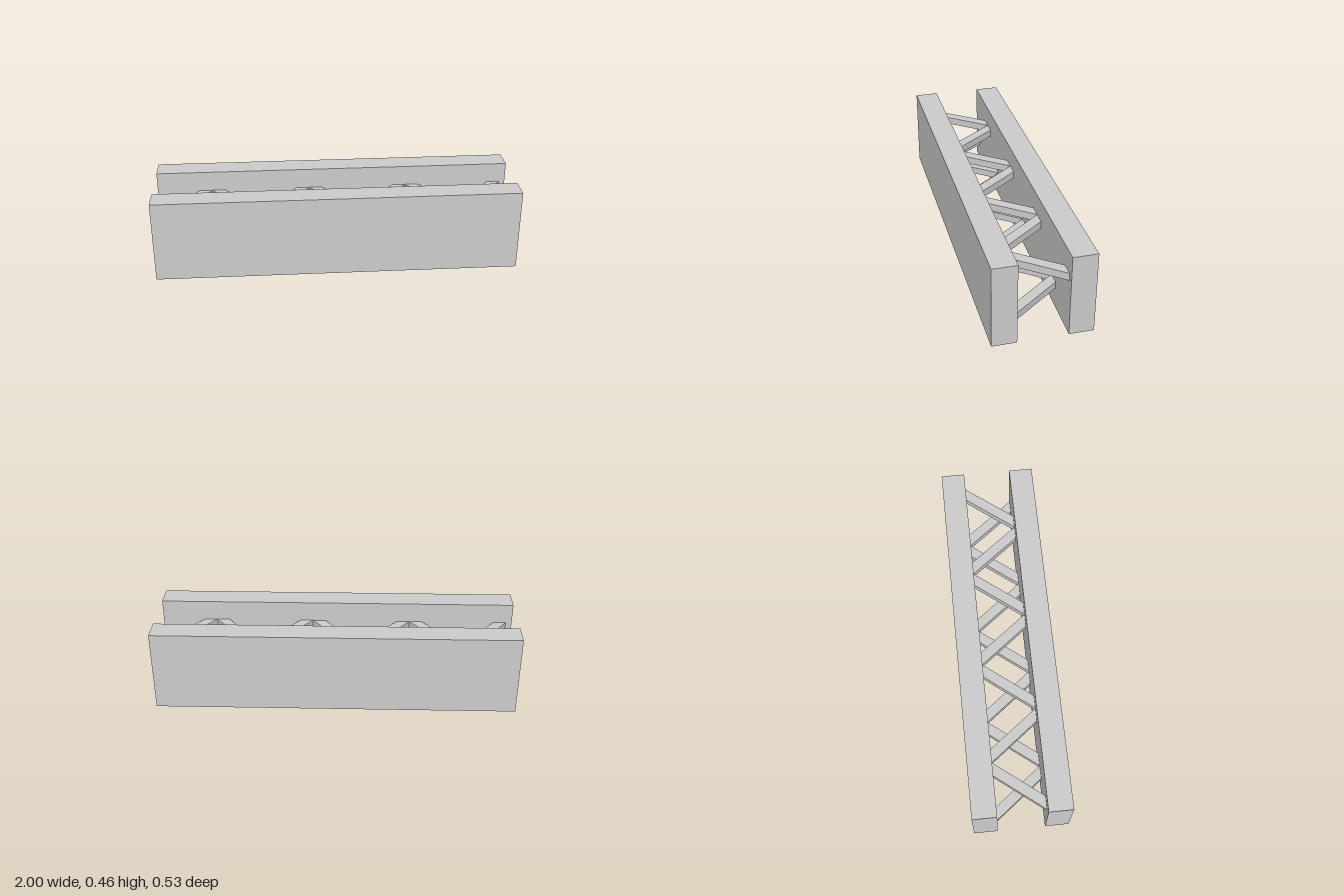
import * as THREE from 'three';

const LENGTH = 2, HEIGHT = 0.456;
const INNER = 0.132, OUTER = 0.263; // wall faces, distance from the middle
const BAYS = 7, PITCH = 0.276, BAR_WIDTH = 0.072; // bar width measured along x

const material = new THREE.MeshStandardMaterial({ color: 0xcccccc, flatShading: true });

// Diagonal bar cut flush with both walls; lean = 1 runs to the back at its +x end
function braceGeometry(lean, thickness) {
  const near = PITCH / 2, far = near - BAR_WIDTH;
  const corners = [[-near, -INNER], [-far, -INNER], [near, INNER], [far, INNER]];
  const shape = new THREE.Shape(corners.map(([x, y]) => new THREE.Vector2(x, y * lean)));
  const geometry = new THREE.ExtrudeGeometry(shape, { depth: thickness, bevelEnabled: false });
  return geometry.rotateX(-Math.PI / 2);
}

// Zigzag row of bars, alternating direction from bay to bay
function braceRow(name, bottom, top, firstLean) {
  const row = new THREE.Group();
  row.name = name;
  for (let i = 0; i < BAYS; i++) {
    const lean = i % 2 === 0 ? firstLean : -firstLean;
    const bar = new THREE.Mesh(braceGeometry(lean, top - bottom), material);
    bar.name = 'diagonalBar';
    bar.position.set((i - (BAYS - 1) / 2) * PITCH, bottom, 0);
    row.add(bar);
  }
  return row;
}

export function createModel() {
  const model = new THREE.Group();
  model.name = 'bracedDoubleWall';

  // Two parallel walls
  for (const [name, side] of [['frontWall', 1], ['backWall', -1]]) {
    const wall = new THREE.Mesh(new THREE.BoxGeometry(LENGTH, HEIGHT, OUTER - INNER), material);
    wall.name = name;
    wall.position.set(0, HEIGHT / 2, side * (INNER + OUTER) / 2);
    model.add(wall);
  }

  // Upper and lower zigzags cross each other when seen from above
  model.add(braceRow('upperBracing', 0.301, 0.343, 1));
  model.add(braceRow('lowerBracing', 0.109, 0.149, -1));
  return model;
}
